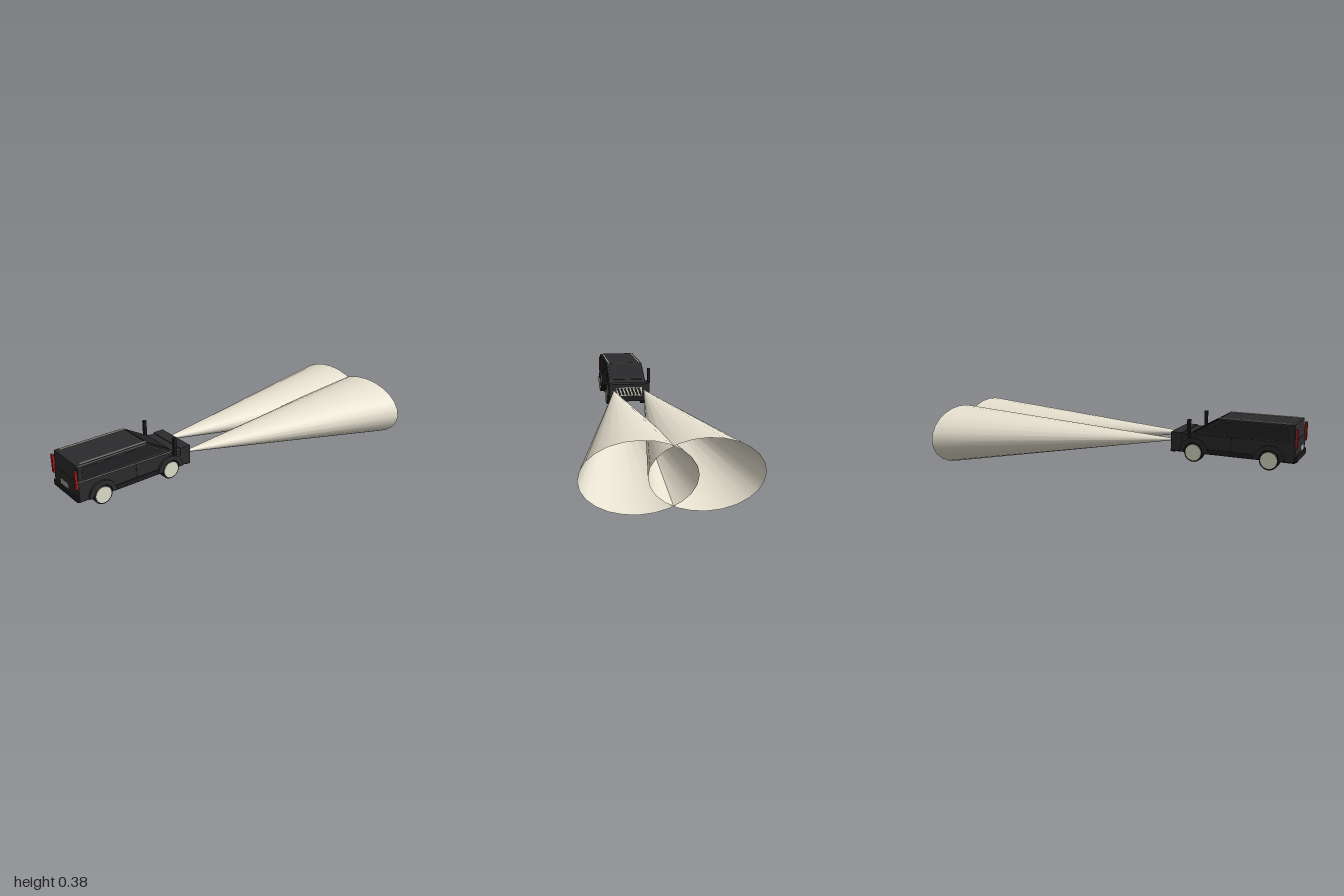
import * as THREE from 'three';
import { mergeVertices } from 'three/addons/utils/BufferGeometryUtils.js';

const mat = (name, color, side = THREE.FrontSide) => {
  const m = new THREE.MeshStandardMaterial({ color, side });
  m.name = name;
  return m;
};

export function createModel() {
  const car = new THREE.Group();
  car.name = 'carWithHeadlightBeams';
  const paint = mat('blackPaint', 0x2b2b2d);
  const trim = mat('darkTrim', 0x1d1d1f);
  const glass = mat('darkGlass', 0x222224);
  const cream = mat('cream', 0xdedecb);
  const beamMat = mat('beamLight', 0xe8e2d1, THREE.DoubleSide);
  const red = mat('tailRed', 0xa02020);
  const grey = mat('plateGrey', 0xa8a8a4);

  const add = (name, geo, material, x = 0, y = 0, z = 0) => {
    const mesh = new THREE.Mesh(geo, material);
    mesh.name = name;
    mesh.position.set(x, y, z);
    car.add(mesh);
    return mesh;
  };
  const box = (name, m, w, h, d, x, y, z) => add(name, new THREE.BoxGeometry(w, h, d), m, x, y, z);

  // Side profile extruded across the car, with a small bevel
  const slab = (name, points, half, m, bevel = 0.005) => {
    const shape = new THREE.Shape(points.map(([x, y]) => new THREE.Vector2(x, y)));
    const geo = new THREE.ExtrudeGeometry(shape, {
      depth: 2 * (half - bevel), bevelEnabled: true, bevelSize: bevel, bevelOffset: -bevel,
      bevelThickness: bevel, bevelSegments: 1,
    });
    geo.translate(0, 0, bevel - half);
    return add(name, geo, m);
  };

  // Body
  slab('lowerBody', [[-0.99, 0.19], [-0.35, 0.19], [-0.35, 0.285], [-0.45, 0.292], [-0.99, 0.3]], 0.119, paint);
  slab('cabin', [[-0.99, 0.28], [-0.44, 0.28], [-0.45, 0.292], [-0.6, 0.38], [-0.982, 0.38]], 0.114, paint);
  box('nose', paint, 0.06, 0.092, 0.244, -0.376, 0.247, 0);
  box('frontBumper', trim, 0.025, 0.03, 0.236, -0.357, 0.203, 0);
  box('rearBumper', trim, 0.02, 0.03, 0.23, -0.988, 0.21, 0);

  // Windscreen lies on the sloping front of the cabin
  const screen = box('windscreen', glass, 0.15, 0.004, 0.2, -0.525, 0.337, 0);
  screen.rotation.z = -Math.atan2(0.088, 0.15);

  // Grille with leaning slats
  box('grille', cream, 0.004, 0.05, 0.155, -0.345, 0.248, 0);
  for (let i = -3; i <= 3; i++) {
    const slat = box('grilleSlat', trim, 0.005, 0.046, 0.012, -0.342, 0.248, i * 0.021);
    slat.rotation.x = 0.35;
  }

  // Rear plate
  box('rearPlate', grey, 0.005, 0.026, 0.075, -0.998, 0.25, 0);

  // Half-ring wheel arch
  const arch = new THREE.Shape();
  arch.absarc(0, 0, 0.075, 0, Math.PI, false);
  arch.absarc(0, 0, 0.052, Math.PI, 0, true);

  for (const s of [1, -1]) {
    // Wheels and arches
    for (const x of [-0.865, -0.472]) {
      const tyre = add('tyre', new THREE.CylinderGeometry(0.05, 0.05, 0.04, 24), trim, x, 0.196, s * 0.106);
      tyre.rotation.x = Math.PI / 2;
      const hub = add('hub', new THREE.CylinderGeometry(0.042, 0.042, 0.006, 24), cream, x, 0.196, s * 0.127);
      hub.rotation.x = Math.PI / 2;
      const arcGeo = new THREE.ExtrudeGeometry(arch, { depth: 0.016, bevelEnabled: false, curveSegments: 12 });
      arcGeo.translate(0, 0, -0.008);
      add('wheelArch', arcGeo, paint, x, 0.196, s * 0.121);
    }
    box('sill', trim, 0.25, 0.025, 0.01, -0.668, 0.205, s * 0.119);
    box('doorSeam', trim, 0.004, 0.08, 0.002, -0.67, 0.255, s * 0.1195);

    // Side windows
    const win = new THREE.Shape([[-0.96, 0.305], [-0.5, 0.305], [-0.605, 0.366], [-0.96, 0.366]]
      .map(([x, y]) => new THREE.Vector2(x, y)));
    const winGeo = new THREE.ExtrudeGeometry(win, { depth: 0.002, bevelEnabled: false });
    winGeo.translate(0, 0, -0.001);
    add('sideWindow', winGeo, glass, 0, 0, s * 0.114);

    // Roof rail, upright mirror post, tail light
    box('roofRail', cream, 0.365, 0.005, 0.009, -0.777, 0.381, s * 0.096);
    box('mirrorPost', trim, 0.016, 0.09, 0.016, -0.45, 0.325, s * 0.135);
    box('mirrorFoot', trim, 0.016, 0.012, 0.03, -0.45, 0.283, s * 0.128);
    box('tailLight', red, 0.012, 0.095, 0.016, -0.993, 0.311, s * 0.112);

    // Headlamp
    const lamp = add('headlamp', new THREE.CylinderGeometry(0.008, 0.008, 0.006, 16), cream, -0.343, 0.247, s * 0.093);
    lamp.rotation.z = -Math.PI / 2;

    // Light beam: open tube widened into an oval and angled down and outwards
    let geo = new THREE.CylinderGeometry(1, 1, 1, 24, 1, true);
    const p = geo.attributes.position;
    const mix = THREE.MathUtils.lerp;
    for (let i = 0; i < p.count; i++) {
      const t = p.getY(i) + 0.5, a = p.getX(i), b = p.getZ(i);
      p.setXYZ(i, mix(-0.342, 1, t),
        mix(0.247, 0.168, t) + b * mix(0.006, 0.165, t),
        s * mix(0.093, 0.149, t) + a * mix(0.006, 0.261, t));
    }
    geo.deleteAttribute('uv');
    geo.deleteAttribute('normal');
    geo = mergeVertices(geo);
    geo.computeVertexNormals();
    add('lightBeam', geo, beamMat);
  }
  return car;
}
